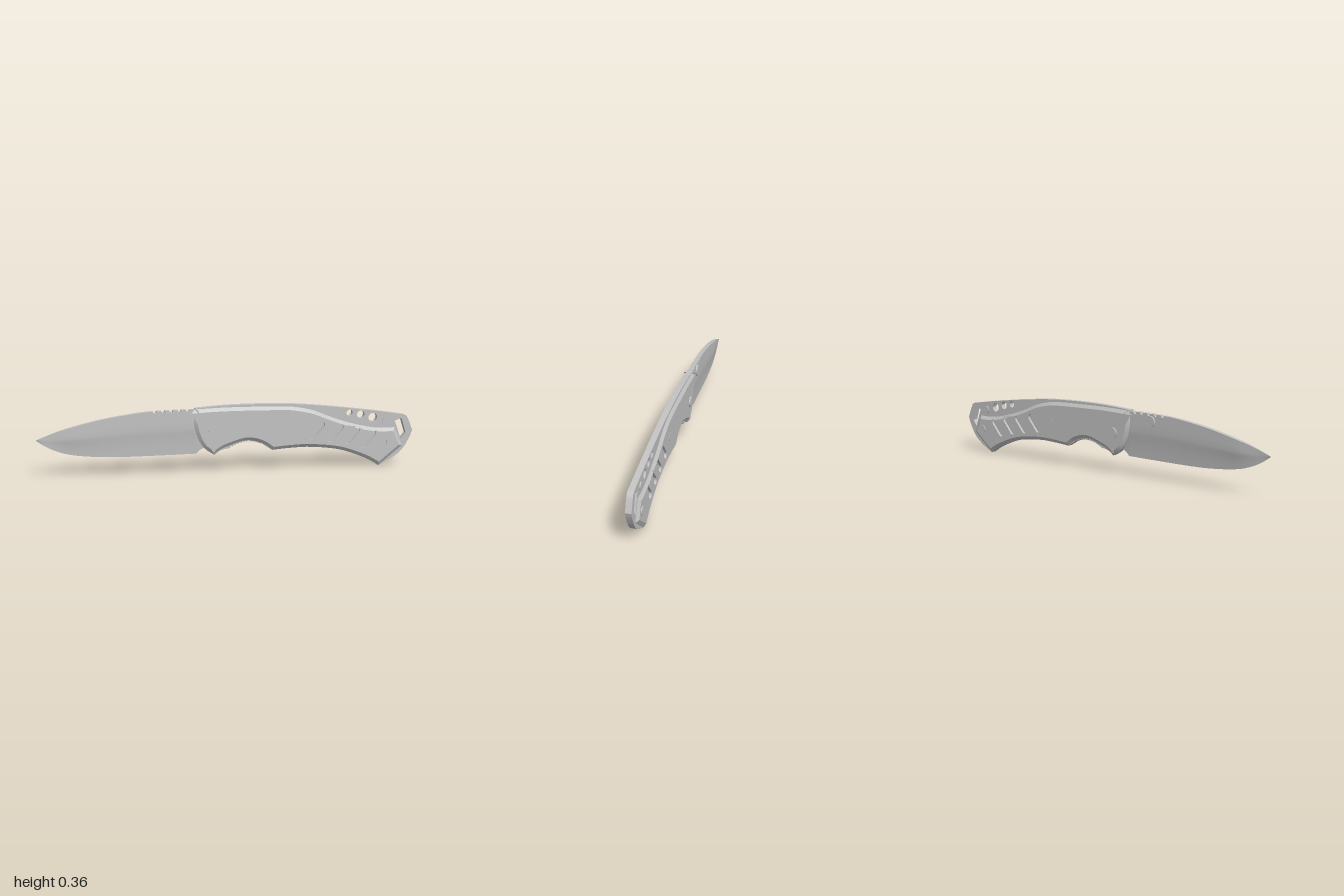
import * as THREE from 'three';
import { toCreasedNormals } from 'three/addons/utils/BufferGeometryUtils.js';

const steel = new THREE.MeshStandardMaterial({ color: 0xc3c3c3 });
steel.name = 'light grey steel';

const vec = (p) => new THREE.Vector2(p[0], p[1]);

// Smooth curve through a few points
const smooth = (pts, n = 6) => new THREE.SplineCurve(pts.map(vec)).getPoints((pts.length - 1) * n);

// Closed outline: smooth runs that meet at sharp corners
function outline(runs) {
  const all = runs.flatMap((run) => (run.length > 2 ? smooth(run) : run.map(vec)));
  return all.filter((p, i) => p.distanceTo(all[(i + 1) % all.length]) > 1e-4);
}

// Move a counterclockwise outline inward
function inset(pts, d) {
  const n = pts.length;
  return pts.map((p, i) => {
    const a = p.clone().sub(pts[(i + n - 1) % n]).normalize();
    const b = pts[(i + 1) % n].clone().sub(p).normalize();
    const m = new THREE.Vector2(-a.y - b.y, a.x + b.x);
    return p.clone().addScaledVector(m, d / Math.max(1 + a.dot(b), 0.5));
  });
}

function plate(pts, holes, half) {
  const shape = new THREE.Shape(pts);
  shape.holes = holes;
  const geo = new THREE.ExtrudeGeometry(shape, { depth: half * 2, bevelEnabled: false, curveSegments: 14 });
  geo.translate(0, 0, -half);
  return toCreasedNormals(geo, 0.5);
}

const roundHole = (x, y, r) => new THREE.Path().absarc(x, y, r, 0, Math.PI * 2, true);

function slotHole(x, y) {
  const a = 0.87, h = 0.04, r = 0.018, dx = h * Math.cos(a), dy = h * Math.sin(a);
  const path = new THREE.Path();
  path.absarc(x + dx, y + dy, r, a - Math.PI / 2, a + Math.PI / 2, false);
  path.absarc(x - dx, y - dy, r, a + Math.PI / 2, a + Math.PI * 1.5, false);
  path.closePath();
  return path;
}

// Sloping border on both faces, from the outline up to its inset
function chamfer(outer, inner, z0, z1) {
  const pos = [], n = outer.length;
  for (const s of [1, -1]) {
    for (let i = 0; i < n; i++) {
      const j = (i + 1) % n;
      const q = [[outer[i], z0], [outer[j], z0], [inner[j], z1], [inner[i], z1]];
      const order = s > 0 ? [0, 1, 2, 0, 2, 3] : [0, 2, 1, 0, 3, 2];
      for (const k of order) pos.push(q[k][0].x, q[k][0].y, s * q[k][1]);
    }
  }
  const geo = new THREE.BufferGeometry();
  geo.setAttribute('position', new THREE.Float32BufferAttribute(pos, 3));
  return toCreasedNormals(geo, 0.5);
}

// Blade lofted along x from hollow-ground cross-sections
function bladeGeometry() {
  const topLine = smooth([[-1, 0.199], [-0.93, 0.226], [-0.85, 0.252], [-0.69, 0.291], [-0.55, 0.315], [-0.405, 0.331], [-0.19, 0.336], [-0.1, 0.33]], 14);
  const lowLine = smooth([[-1, 0.196], [-0.955, 0.165], [-0.9, 0.138], [-0.82, 0.115], [-0.69, 0.1], [-0.53, 0.095],
    [-0.2, 0.098], [-0.175, 0.102], [-0.155, 0.12], [-0.1, 0.145]], 10);
  const at = (line, x) => {
    let i = 1;
    while (i < line.length - 1 && line[i].x < x) i++;
    const a = line[i - 1], b = line[i];
    return THREE.MathUtils.lerp(a.y, b.y, THREE.MathUtils.clamp((x - a.x) / (b.x - a.x), 0, 1));
  };
  const stations = [];
  for (let i = 0; i < 44; i++) stations.push([-1 + 0.59 * Math.pow(i / 43, 1.3), 0]);
  // rounded thumb notches along the spine
  for (let k = 0; k < 5; k++) {
    const x = -0.402 + k * 0.043;
    stations.push([x, 0], [x + 0.003, 0.009], [x + 0.009, 0.013], [x + 0.015, 0.009], [x + 0.018, 0]);
  }
  for (const x of [-0.19, -0.175, -0.165, -0.155, -0.13, -0.1]) stations.push([x, 0]);

  const section = [[0, 1], [0.25, 1], [0.42, 1], [0.5, 0.86], [0.6, 0.6], [0.72, 0.38], [0.86, 0.18], [1, 0.03]];
  const m = section.length * 2, pos = [], index = [];
  stations.forEach(([x, cut], i) => {
    const top = at(topLine, x), low = at(lowLine, x);
    const t = 0.002 + 0.011 * THREE.MathUtils.smoothstep(x, -0.97, -0.8);
    const side = section.map(([v, w], k) => [top + (low - top) * v - (k ? 0 : cut), t * w]);
    for (const [y, z] of side) pos.push(x, y, z);
    for (const [y, z] of side.reverse()) pos.push(x, y, -z);
    if (i === stations.length - 1) return;
    for (let k = 0; k < m; k++) {
      const a = i * m + k, b = i * m + (k + 1) % m;
      index.push(a, b, b + m, a, b + m, a + m);
    }
  });
  const geo = new THREE.BufferGeometry();
  geo.setAttribute('position', new THREE.Float32BufferAttribute(pos, 3));
  geo.setIndex(index);
  return toCreasedNormals(geo, 0.6);
}

export function createModel() {
  const group = new THREE.Group();
  const add = (name, geo) => {
    const mesh = new THREE.Mesh(geo, steel);
    mesh.name = name;
    group.add(mesh);
  };
  // Round pin running through both faces
  const pin = (name, x, y, r, half) => {
    const geo = new THREE.CylinderGeometry(r, r, half * 2, 28);
    geo.rotateX(Math.PI / 2);
    geo.translate(x, y, 0);
    add(name, geo);
  };

  add('blade', bladeGeometry());

  // Shared handle edges
  const front = [[-0.185, 0.34], [-0.19, 0.27], [-0.175, 0.2], [-0.14, 0.134], [-0.083, 0.092]];
  const belly = [[0.227, 0.107], [0.32, 0.114], [0.435, 0.116], [0.595, 0.096], [0.735, 0.046], [0.815, 0]];

  // Small grip teeth in the finger groove
  const teeth = [];
  for (let i = 0; i <= 24; i++) {
    const u = i / 24;
    teeth.push([0.18 * u, 0.125 + 0.01 * u + 0.024 * Math.sin(Math.PI * u) + (i % 2 ? 0.009 : 0)]);
  }

  // Core with lanyard loop and lightening holes
  const core = outline([
    front, [[-0.083, 0.092], [-0.05, 0.115], [0, 0.125]],
    ...teeth.slice(1).map((p, i) => [teeth[i], p]),
    belly,
    [[0.815, 0], [0.9, 0.046], [0.95, 0.09], [0.985, 0.15], [1, 0.19]],
    [[1, 0.19], [0.975, 0.25], [0.962, 0.27], [0.945, 0.277]],
    [[0.945, 0.277], [0.755, 0.305], [0.49, 0.337], [0.275, 0.353], [0.01, 0.354], [-0.185, 0.342]],
  ]);
  const lanyard = new THREE.Path([[0.9, 0.243], [0.937, 0.257], [0.963, 0.175], [0.937, 0.142]].map(vec));
  add('handleCore', plate(core, [
    lanyard, roundHole(0.647, 0.294, 0.017), roundHole(0.709, 0.283, 0.021), roundHole(0.776, 0.265, 0.024),
  ], 0.015));

  // Raised grip scales with a chamfered border and slots
  const scale = outline([
    front, [[-0.083, 0.092], [-0.05, 0.118], [0, 0.14], [0.09, 0.164], [0.17, 0.146], [0.227, 0.107]],
    belly,
    [[0.815, 0], [0.945, 0.107]], [[0.945, 0.107], [0.9, 0.207]],
    [[0.9, 0.207], [0.785, 0.21], [0.65, 0.24], [0.54, 0.277], [0.45, 0.313], [0.36, 0.333], [0.275, 0.34], [0, 0.343], [-0.185, 0.337]],
  ]);
  const face = inset(scale, 0.018);
  const slots = [[0.465, 0.207], [0.568, 0.19], [0.66, 0.174], [0.75, 0.152]];
  add('gripScales', plate(face, slots.map(([x, y]) => slotHole(x, y)), 0.028));
  add('gripChamfers', chamfer(scale, face, 0.015, 0.028));

  // Fasteners
  pin('thumbStud', -0.318, 0.294, 0.03, 0.021);
  pin('pivotScrew', -0.088, 0.214, 0.028, 0.035);
  pin('lockPin', 0.345, 0.23, 0.02, 0.029);
  pin('tailScrew', 0.874, 0.132, 0.023, 0.033);
  pin('spineScrew', 0.85, 0.246, 0.02, 0.021);

  return group;
}
